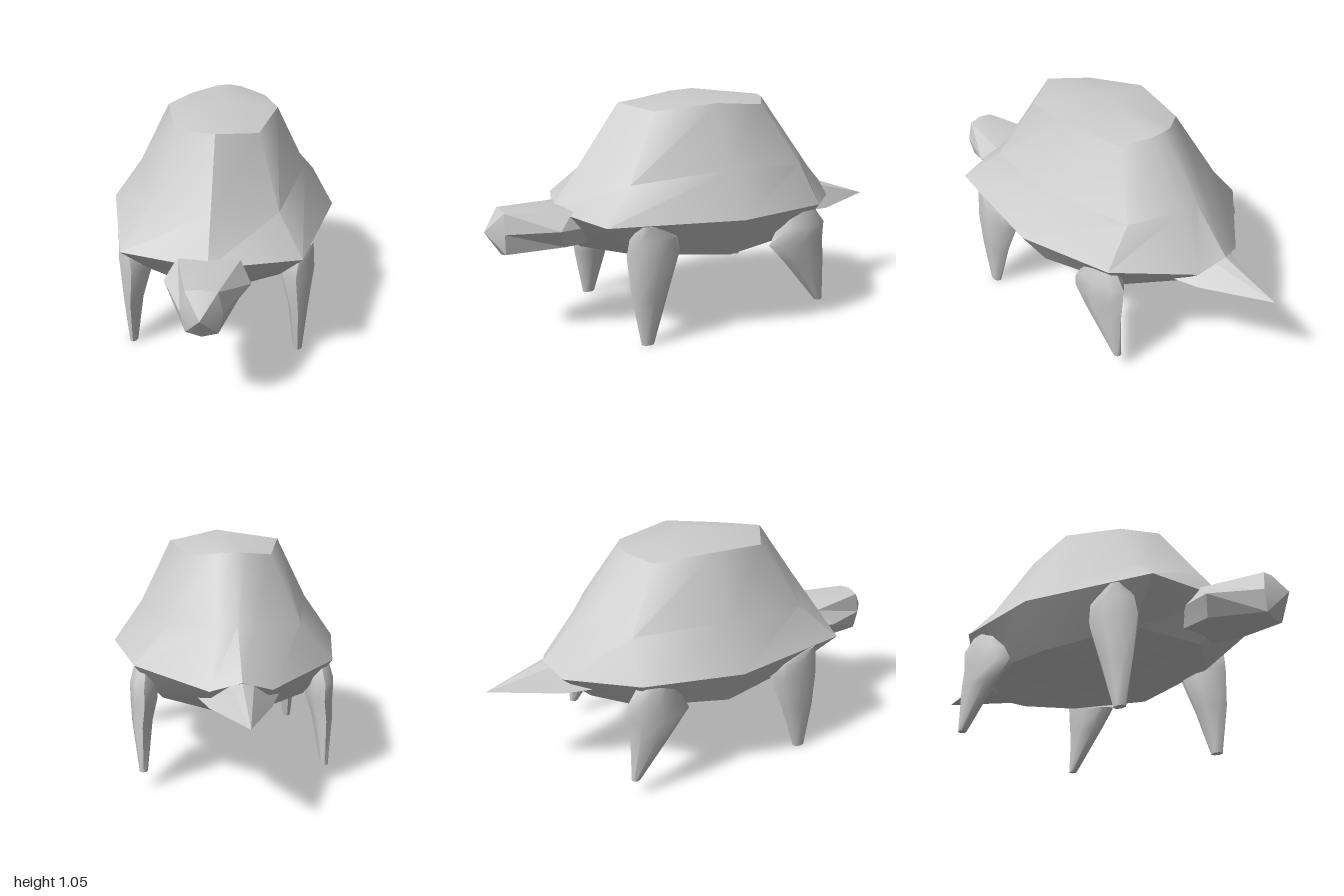
import * as THREE from 'three';
import { toCreasedNormals } from 'three/addons/utils/BufferGeometryUtils.js';

const grey = new THREE.MeshStandardMaterial({ color: 0xcccccc });

// Complete a half section (first and last points on x = 0) by mirroring it
const mirror = half => [
  ...half,
  ...half.slice(1, -1).reverse().map(([x, y, z]) => [-x, y, z]),
];

// Skin closed rings in order, with a fan to a start point and an end point
function loft(name, rings, start, end, crease = 0.65) {
  const n = rings[0].length, pos = [];
  const tri = (...pts) => pts.forEach(p => pos.push(...p));
  for (let j = 0; j < n; j++) {
    const k = (j + 1) % n;
    tri(start, rings[0][k], rings[0][j]);
    for (let i = 0; i < rings.length - 1; i++) {
      const a = rings[i][j], b = rings[i][k], c = rings[i + 1][k], d = rings[i + 1][j];
      tri(a, b, c);
      tri(a, c, d);
    }
    const last = rings[rings.length - 1];
    tri(last[j], last[k], end);
  }
  const geo = new THREE.BufferGeometry();
  geo.setAttribute('position', new THREE.Float32BufferAttribute(pos, 3));
  const mesh = new THREE.Mesh(toCreasedNormals(geo, crease), grey);
  mesh.name = name;
  return mesh;
}

// Leg from sections [y, x centre, x radius, z centre, z radius]
function leg(name, sections, side) {
  const rings = sections.map(([y, x, rx, z, rz]) =>
    Array.from({ length: 8 }, (_, i) => {
      const t = i / 8 * Math.PI * 2;
      return [side * x + rx * Math.sin(t), y, z + rz * Math.cos(t)];
    }));
  const centre = ([y, x, , z]) => [side * x, y, z];
  return loft(name, rings, centre(sections[0]), centre(sections[sections.length - 1]), 0.9);
}

export function createModel() {
  const model = new THREE.Group();
  model.name = 'turtle';

  // Shell and belly: belly ring, rim, mid ring, top ring
  const shell = [
    [[0, .365, .57], [.29, .385, .42], [.39, .355, 0], [.31, .385, -.40], [.1, .37, -.55], [0, .365, -.57]],
    [[0, .55, .70], [.385, .545, .58], [.52, .545, 0], [.43, .545, -.44], [.13, .5, -.69], [0, .545, -.73]],
    [[0, .73, .57], [.28, .69, .43], [.385, .74, 0], [.29, .71, -.42], [.08, .73, -.54], [0, .735, -.56]],
    [[0, 1.01, .37], [.18, .985, .27], [.25, 1.015, 0], [.18, .985, -.27], [.06, 1.005, -.34], [0, 1.01, -.35]],
  ];
  model.add(loft('shell', shell.map(mirror), [0, .30, 0], [0, 1.055, 0]));

  // Head: neck inside the shell, cheeks, muzzle and blunt nose
  const head = [
    [[0, .39, .48], [.09, .41, .48], [.12, .49, .48], [.09, .54, .48], [0, .55, .48]],
    [[0, .405, .70], [.13, .41, .68], [.18, .495, .71], [.13, .565, .64], [0, .575, .64]],
    [[0, .375, .93], [.065, .39, .925], [.085, .485, .93], [.065, .575, .925], [0, .585, .93]],
  ];
  model.add(loft('head', head.map(mirror), [0, .48, .48], [0, .485, 1], 0.4));

  // Pointed tail, widening into the shell
  const tail = [
    [[0, .405, -.69], [.13, .43, -.69], [.05, .53, -.71], [0, .545, -.72]],
    [[0, .40, -.50], [.2, .45, -.50], [.08, .56, -.50], [0, .58, -.50]],
  ];
  model.add(loft('tail', tail.map(mirror), [0, .45, -1], [0, .48, -.50], 0.4));

  // Tapering legs
  const frontLeg = [
    [0, .38, .02, .40, .03],
    [.22, .375, .045, .385, .085],
    [.40, .36, .08, .36, .125],
    [.48, .37, .065, .36, .115],
    [.54, .40, .03, .40, .04],
  ];
  const backLeg = [
    [.075, .40, .018, -.47, .02],
    [.28, .40, .045, -.385, .105],
    [.37, .39, .06, -.345, .145],
    [.45, .39, .06, -.37, .125],
    [.54, .38, .045, -.35, .08],
  ];
  for (const [side, label] of [[1, 'left'], [-1, 'right']]) {
    model.add(leg(label + 'FrontLeg', frontLeg, side));
    model.add(leg(label + 'BackLeg', backLeg, side));
  }
  return model;
}
